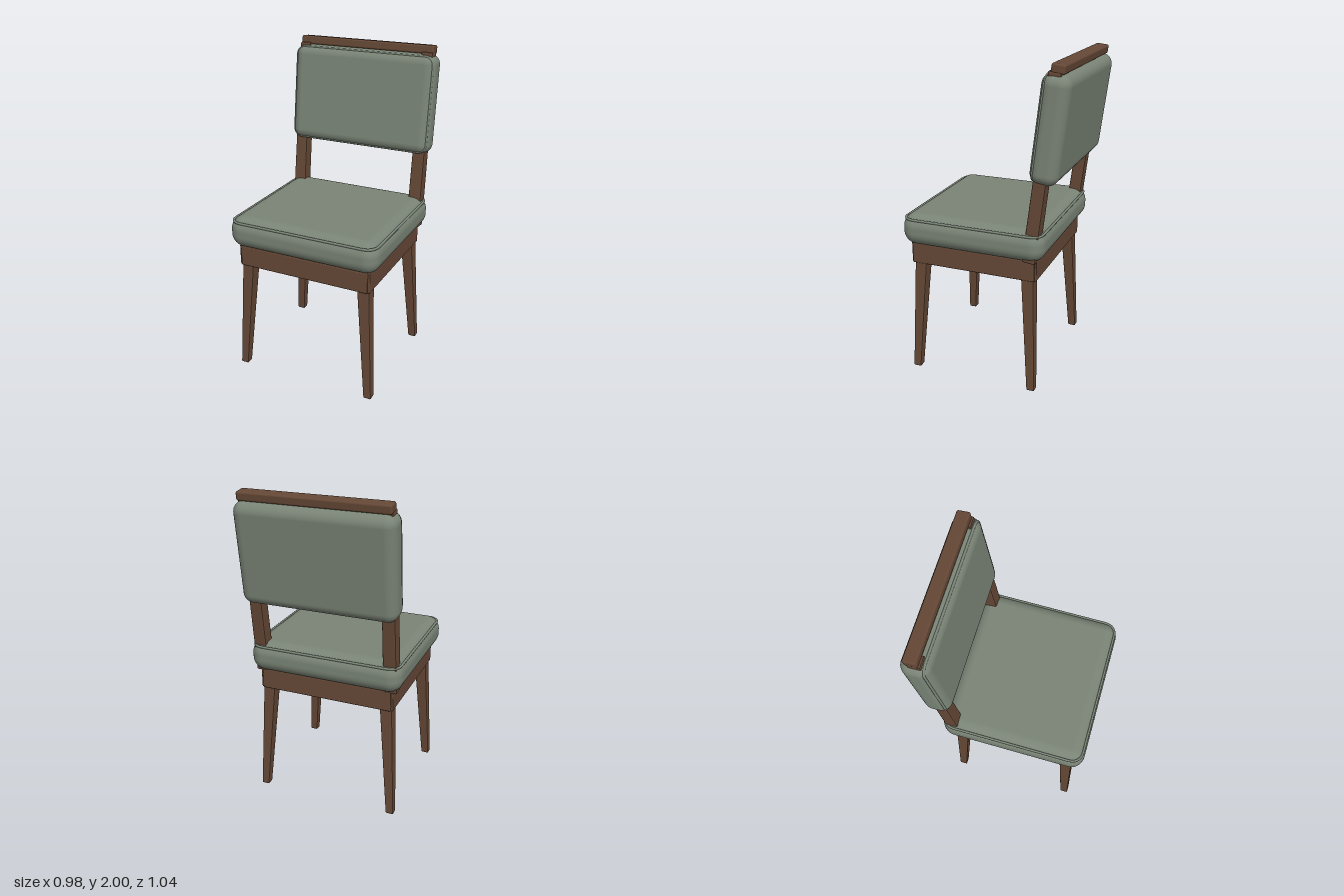
import * as THREE from 'three';
import { RoundedBoxGeometry } from 'three/addons/geometries/RoundedBoxGeometry.js';

export function createModel() {
  const wood = new THREE.MeshStandardMaterial({ color: 0x654836 });
  wood.name = 'walnutWood';
  const fabric = new THREE.MeshStandardMaterial({ color: 0x7a8476 });
  fabric.name = 'sageFabric';

  const chair = new THREE.Group();
  chair.name = 'diningChair';

  function add(parent, name, geometry, material, x = 0, y = 0, z = 0) {
    const mesh = new THREE.Mesh(geometry, material);
    mesh.name = name;
    mesh.position.set(x, y, z);
    parent.add(mesh);
    return mesh;
  }

  // Wooden bar with chamfered edges
  const bar = (w, h, d, r = 0.006) => new RoundedBoxGeometry(w, h, d, 2, r);

  // Square bar whose section and centre change linearly from bottom to top
  // each end is { y, x, z, w, d }
  function taperedBar(bottom, top) {
    const geometry = new RoundedBoxGeometry(0.08, top.y - bottom.y, 0.08, 1, 0.009);
    const p = geometry.attributes.position;
    const height = top.y - bottom.y;
    for (let i = 0; i < p.count; i++) {
      const t = p.getY(i) / height + 0.5;
      const at = (key) => THREE.MathUtils.lerp(bottom[key], top[key], t);
      p.setXYZ(i, at('x') + p.getX(i) * at('w') / 0.08, at('y'), at('z') + p.getZ(i) * at('d') / 0.08);
    }
    geometry.computeVertexNormals();
    return geometry;
  }

  // Closed cord following a rounded rectangle in the XY plane
  function piping(w, h, r, thickness) {
    const a = w / 2 - r, b = h / 2 - r;
    const outline = new THREE.Shape();
    outline.absarc(a, b, r, 0, Math.PI / 2);
    outline.absarc(-a, b, r, Math.PI / 2, Math.PI);
    outline.absarc(-a, -b, r, Math.PI, Math.PI * 1.5);
    outline.absarc(a, -b, r, Math.PI * 1.5, Math.PI * 2);
    outline.closePath();
    const points = outline.getSpacedPoints(120).slice(0, -1).map((p) => new THREE.Vector3(p.x, p.y, 0));
    const path = new THREE.CatmullRomCurve3(points, true);
    return new THREE.TubeGeometry(path, 200, thickness, 8, true);
  }

  // Seat cushion with a cord around its upper edge
  add(chair, 'seatCushion', new RoundedBoxGeometry(0.98, 0.2, 0.91, 8, 0.085), fabric, 0, 0.95, 0.065);
  const seatCord = add(chair, 'seatPiping', piping(0.95, 0.88, 0.07, 0.008), fabric, 0, 1.02, 0.065);
  seatCord.rotation.x = -Math.PI / 2;

  // Apron frame
  add(chair, 'frontApron', bar(0.85, 0.13, 0.05), wood, 0, 0.79, 0.45);
  add(chair, 'backApron', bar(0.85, 0.13, 0.05), wood, 0, 0.79, -0.315);
  for (const side of [1, -1]) {
    add(chair, side > 0 ? 'leftApron' : 'rightApron', bar(0.05, 0.13, 0.795), wood, side * 0.413, 0.79, 0.0675);
  }

  // Splayed, tapered legs
  for (const side of [1, -1]) {
    const label = side > 0 ? 'Left' : 'Right';
    add(chair, 'front' + label + 'Leg', taperedBar(
      { y: 0, x: side * 0.44, z: 0.455, w: 0.05, d: 0.05 },
      { y: 0.84, x: side * 0.383, z: 0.409, w: 0.083, d: 0.083 }), wood);
    add(chair, 'back' + label + 'Leg', taperedBar(
      { y: 0, x: side * 0.44, z: -0.323, w: 0.05, d: 0.05 },
      { y: 0.84, x: side * 0.383, z: -0.278, w: 0.083, d: 0.083 }), wood);
  }

  // Reclined backrest
  const back = new THREE.Group();
  back.name = 'backrest';
  back.position.set(0, 0.85, -0.3);
  back.rotation.x = -0.122;
  chair.add(back);

  for (const side of [1, -1]) {
    add(back, side > 0 ? 'leftPost' : 'rightPost', taperedBar(
      { y: 0, x: side * 0.42, z: 0, w: 0.086, d: 0.082 },
      { y: 1.115, x: side * 0.419, z: 0, w: 0.074, d: 0.076 }), wood);
  }
  add(back, 'backCushion', new RoundedBoxGeometry(0.965, 0.625, 0.17, 8, 0.065), fabric, 0, 0.792, -0.012);
  add(back, 'backPiping', piping(0.935, 0.595, 0.055, 0.008), fabric, 0, 0.792, 0.046);
  add(back, 'topRail', bar(0.91, 0.054, 0.08, 0.012), wood, 0, 1.131, -0.0145);

  return chair;
}
